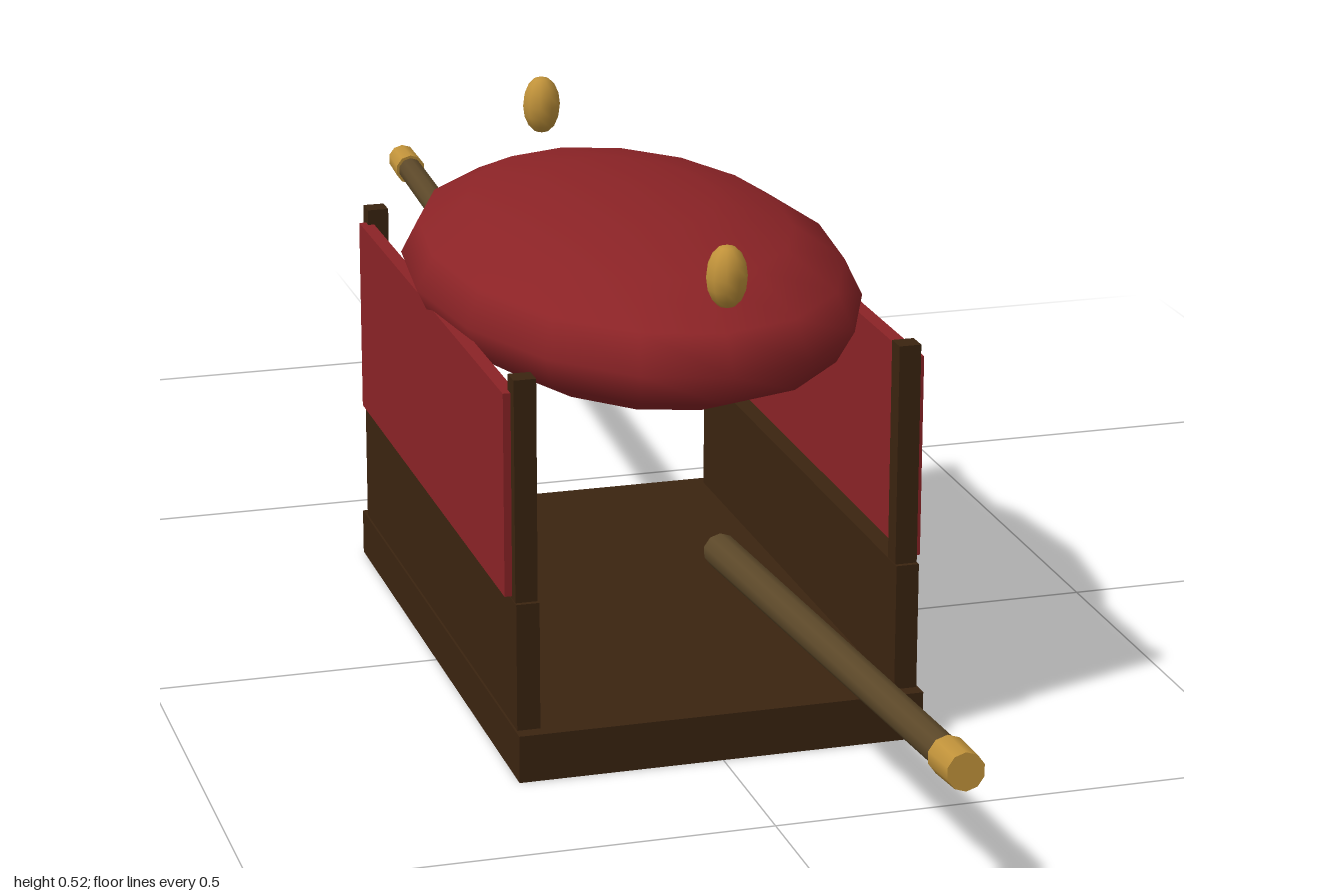
import * as THREE from 'three';

const material = (name, color) => {
  const m = new THREE.MeshStandardMaterial({ color });
  m.name = name;
  return m;
};

export function createModel() {
  const wood = material('darkWood', 0x3b2410);
  const poleWood = material('poleWood', 0x5c4829);
  const red = material('redCloth', 0x8b2326);
  const gold = material('gold', 0xc0923a);
  const group = new THREE.Group();
  group.name = 'palanquin';

  const add = (name, geometry, mat, x, y, z) => {
    const mesh = new THREE.Mesh(geometry, mat);
    mesh.name = name;
    mesh.position.set(x, y, z);
    group.add(mesh);
    return mesh;
  };
  const box = (name, mat, w, h, d, x, y, z) =>
    add(name, new THREE.BoxGeometry(w, h, d), mat, x, y, z);
  const ellipsoid = (name, mat, rx, ry, rz, segments, x, y, z) =>
    add(name, new THREE.SphereGeometry(1, segments, 8).scale(rx, ry, rz), mat, x, y, z);

  // Floor and domed canopy
  box('floor', wood, 0.41, 0.048, 0.67, 0, 0.024, 0);
  ellipsoid('canopy', red, 0.22, 0.0925, 0.36, 16, 0, 0.3985, 0);

  // Low side walls, hanging curtains and corner posts
  for (const sx of [-1, 1]) {
    box('sideWall', wood, 0.023, 0.13, 0.64, sx * 0.1915, 0.112, 0);
    box('curtain', red, 0.014, 0.204, 0.606, sx * 0.203, 0.282, 0);
    for (const sz of [-1, 1]) {
      box('cornerPost', wood, 0.022, 0.352, 0.022, sx * 0.1915, 0.224, sz * 0.304);
    }
  }

  // Rod of round section between two points in the x = 0 plane
  const rod = (name, mat, start, end, r0, r1) => {
    const a = new THREE.Vector3(0, ...start);
    const b = new THREE.Vector3(0, ...end);
    const dir = b.clone().sub(a);
    const mid = a.clone().add(b).multiplyScalar(0.5);
    const mesh = add(name, new THREE.CylinderGeometry(r1, r0, dir.length(), 10), mat, 0, mid.y, mid.z);
    mesh.quaternion.setFromUnitVectors(new THREE.Vector3(0, 1, 0), dir.normalize());
  };

  // Carrying poles with gilt ends, and canopy finials
  for (const sz of [-1, 1]) {
    rod('carryingPole', poleWood, [0.212, sz * 0.32], [0.256, sz * 0.962], 0.017, 0.0145);
    rod('poleCap', gold, [0.2555, sz * 0.955], [0.2585, sz * 0.999], 0.018, 0.017);
    ellipsoid('finial', gold, 0.0205, 0.031, 0.0205, 10, 0, 0.491, sz * 0.335);
  }
  return group;
}
